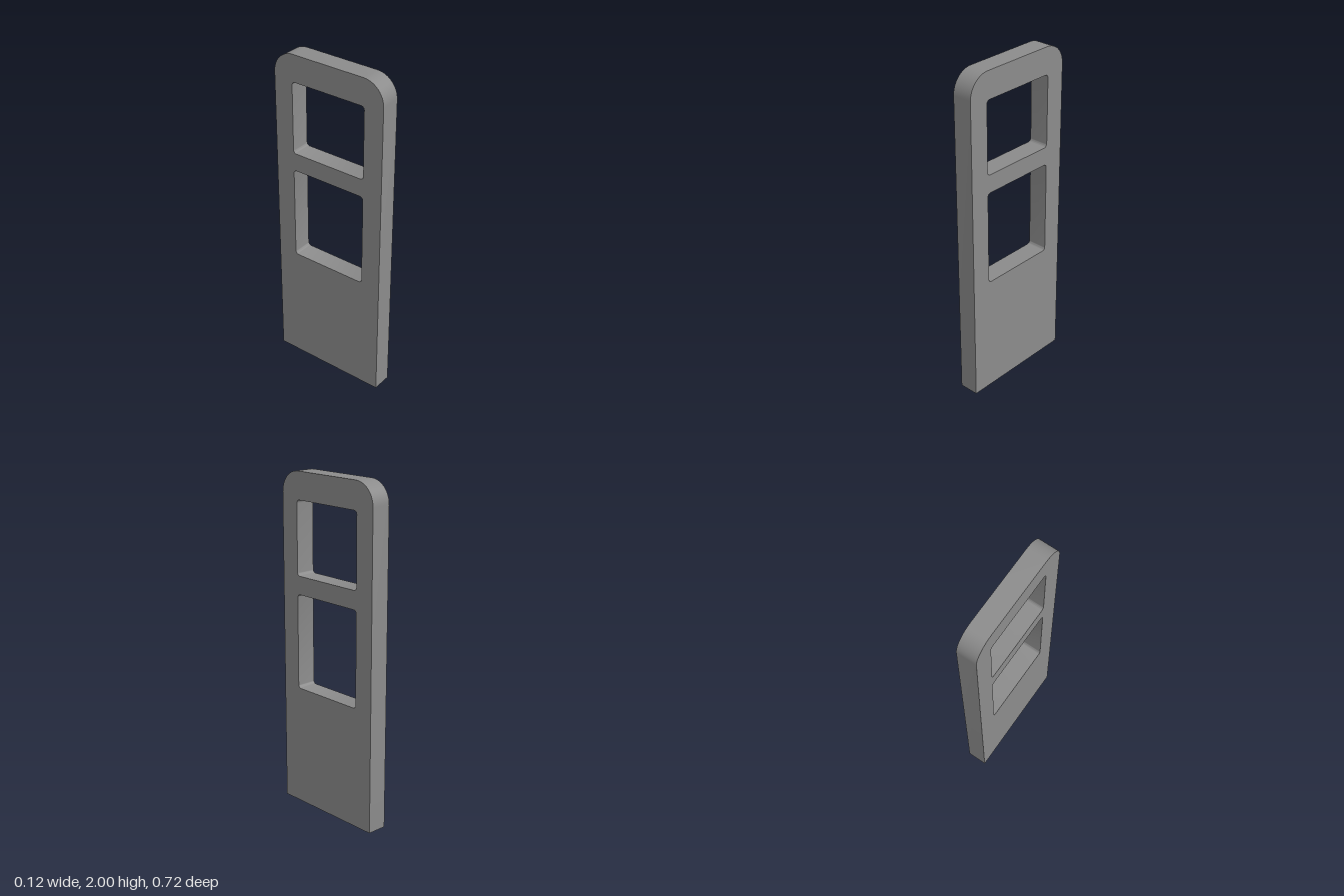
import * as THREE from 'three';
import { toCreasedNormals } from 'three/addons/utils/BufferGeometryUtils.js';

// Trace a rectangle with separate corner radii for its bottom and top
function roundedRect(path, halfWidth, y0, y1, rBottom, rTop) {
  const w = halfWidth;
  path.moveTo(-w + rBottom, y0);
  path.lineTo(w - rBottom, y0);
  if (rBottom) path.absarc(w - rBottom, y0 + rBottom, rBottom, -Math.PI / 2, 0);
  path.lineTo(w, y1 - rTop);
  path.absarc(w - rTop, y1 - rTop, rTop, 0, Math.PI / 2);
  path.lineTo(-w + rTop, y1);
  path.absarc(-w + rTop, y1 - rTop, rTop, Math.PI / 2, Math.PI);
  path.lineTo(-w, y0 + rBottom);
  if (rBottom) path.absarc(-w + rBottom, y0 + rBottom, rBottom, Math.PI, Math.PI * 1.5);
  path.closePath();
  return path;
}

export function createModel() {
  const thickness = 0.12;
  const group = new THREE.Group();
  group.name = 'doorPanel';

  // Panel outline: square foot, rounded top corners
  const outline = roundedRect(new THREE.Shape(), 0.362, 0, 2, 0, 0.13);

  // Lower and upper window openings
  for (const [y0, y1] of [[0.725, 1.294], [1.403, 1.839]]) {
    outline.holes.push(roundedRect(new THREE.Path(), 0.241, y0, y1, 0.02, 0.02));
  }

  // Extrude through the thickness, then turn the panel to lie across z
  const geometry = new THREE.ExtrudeGeometry(outline, {
    depth: thickness, bevelEnabled: false, curveSegments: 6,
  });
  geometry.translate(0, 0, -thickness / 2);
  geometry.rotateY(Math.PI / 2);

  const panel = new THREE.Mesh(
    toCreasedNormals(geometry, Math.PI / 6),
    new THREE.MeshStandardMaterial({ color: 0x8b8b8b })
  );
  panel.name = 'windowedPanel';
  group.add(panel);
  return group;
}
